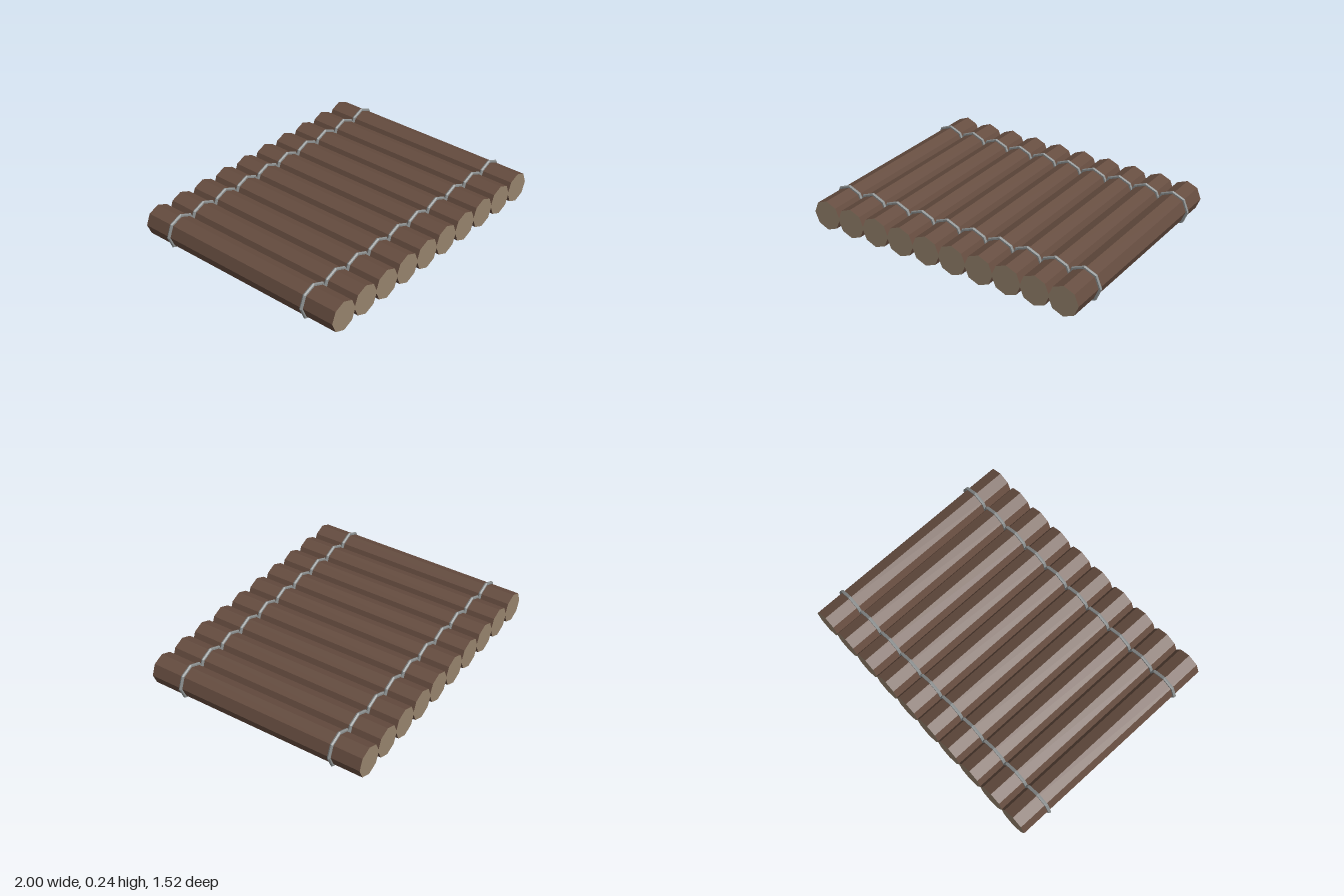
import * as THREE from 'three';

const LOGS = 10, SPACING = 0.1955, CENTER_Y = 0.12;
const LOG_RADIUS = 0.102, LOG_LENGTH = 1.525;
const ROPE_RADIUS = 0.109, ROPE_THICKNESS = 0.011;

export function createModel() {
  const raft = new THREE.Group();
  raft.name = 'logRaft';

  const material = (color) => new THREE.MeshStandardMaterial({ color, flatShading: true });
  const bark = material(0x654c3f);
  const cutWood = material(0x95826c);
  const rope = material(0x8a8e8e);

  // Eight-sided log lying along z, with a corner pointing straight up
  const logGeometry = new THREE.CylinderGeometry(LOG_RADIUS, LOG_RADIUS, LOG_LENGTH, 8);
  logGeometry.rotateX(Math.PI / 2);

  // Eight-sided rope loop that hugs one log
  const loopGeometry = new THREE.TorusGeometry(ROPE_RADIUS, ROPE_THICKNESS, 6, 8);

  const logs = new THREE.Group();
  logs.name = 'logs';
  const frontLashing = new THREE.Group();
  frontLashing.name = 'frontLashing';
  frontLashing.position.z = 0.535;
  const backLashing = new THREE.Group();
  backLashing.name = 'backLashing';
  backLashing.position.z = -0.557;

  for (let i = 0; i < LOGS; i++) {
    const x = (i - (LOGS - 1) / 2) * SPACING;

    const log = new THREE.Mesh(logGeometry, [bark, cutWood, cutWood]);
    log.name = 'log' + (i + 1);
    log.position.set(x, CENTER_Y, 0);
    logs.add(log);

    for (const lashing of [frontLashing, backLashing]) {
      const loop = new THREE.Mesh(loopGeometry, rope);
      loop.name = 'ropeLoop' + (i + 1);
      loop.position.set(x, CENTER_Y, 0);
      lashing.add(loop);
    }
  }

  raft.add(logs, frontLashing, backLashing);
  return raft;
}
